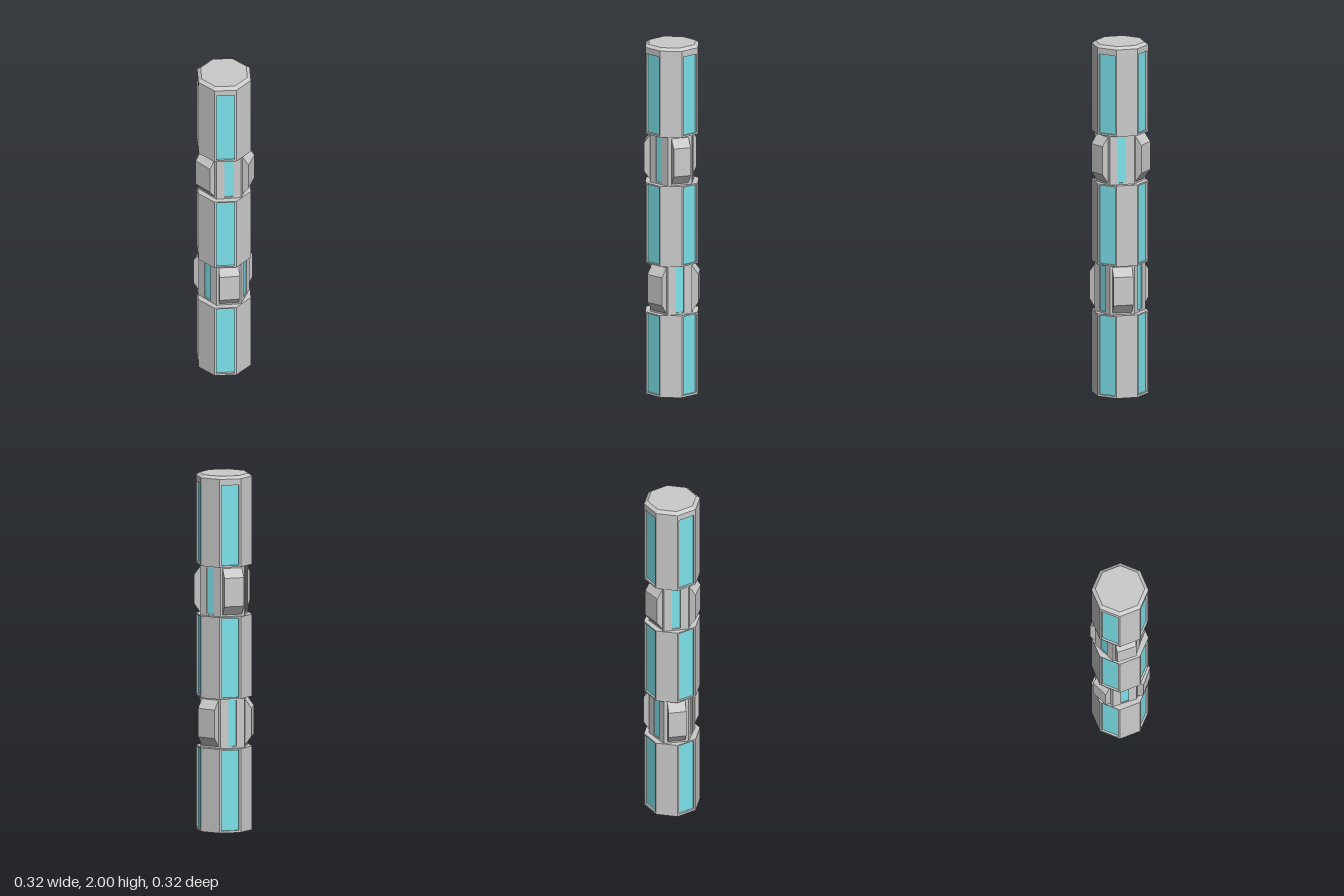
import * as THREE from 'three';

const grey = new THREE.MeshStandardMaterial({ color: 0xcccccc, flatShading: true });
const glow = new THREE.MeshStandardMaterial({ color: 0x7de3ec, flatShading: true });

// Plan outlines, counter-clockwise as [x, -z]
const octagon = Array.from({ length: 8 }, (_, i) => {
  const a = (i * Math.PI) / 4;
  return [0.158 * Math.cos(a), 0.158 * Math.sin(a)];
});
const hexagon = [[0.125, -0.07], [0.125, 0.07], [0, 0.13], [-0.125, 0.07], [-0.125, -0.07], [0, -0.13]];

// Midpoint, direction and outward angle of one side of an outline
function sideOf(outline, i) {
  const p = outline[i], q = outline[(i + 1) % outline.length];
  const dx = q[0] - p[0], dy = q[1] - p[1], len = Math.hypot(dx, dy);
  return {
    mid: [(p[0] + q[0]) / 2, (p[1] + q[1]) / 2],
    t: [dx / len, dy / len],
    n: [dy / len, -dx / len],
    angle: Math.atan2(-dx, dy),
  };
}

function add(parent, name, geometry, material) {
  const mesh = new THREE.Mesh(geometry, material);
  mesh.name = name;
  parent.add(mesh);
  return mesh;
}

// Upright prism; every second side, from the given parity, may carry a groove
function prism(outline, y0, y1, groove) {
  const pts = [];
  outline.forEach((p, i) => {
    pts.push(new THREE.Vector2(...p));
    if (!groove || i % 2 !== groove.parity) return;
    const { mid, t, n } = sideOf(outline, i);
    for (const [s, d] of [[-1, 0], [-1, 1], [1, 1], [1, 0]]) {
      const u = (s * groove.width) / 2, v = d * groove.depth;
      pts.push(new THREE.Vector2(mid[0] + t[0] * u - n[0] * v, mid[1] + t[1] * u - n[1] * v));
    }
  });
  return new THREE.ExtrudeGeometry(new THREE.Shape(pts), { depth: y1 - y0, bevelEnabled: false })
    .rotateX(-Math.PI / 2).translate(0, y0, 0);
}

// Put a part whose outward axis is +x onto one side of an outline
function mount(mesh, outline, i, inset = 0) {
  const { mid, n, angle } = sideOf(outline, i);
  mesh.position.set(mid[0] - n[0] * inset, mesh.position.y, -(mid[1] - n[1] * inset));
  mesh.rotation.y = angle;
}

// Prism closed by plain end plates, with coloured inlays in its grooves
function groovedSection(name, outline, y0, y1, g0, g1, groove) {
  const group = new THREE.Group();
  group.name = name;
  add(group, 'lowerRim', prism(outline, y0, g0), grey);
  add(group, 'groovedBody', prism(outline, g0, g1, groove), grey);
  add(group, 'upperRim', prism(outline, g1, y1), grey);
  for (let i = groove.parity; i < outline.length; i += 2) {
    const panel = add(group, 'inlayPanel', new THREE.BoxGeometry(0.002, g1 - g0, groove.width), glow);
    panel.position.y = (g0 + g1) / 2;
    mount(panel, outline, i, groove.depth);
  }
  return group;
}

// Raised grip pad with sloping top and bottom
function gripPad(y0, y1, width) {
  const h = 0.036;
  const profile = new THREE.Shape([[0, y0], [h, y0 + 0.05], [h, y1 - 0.05], [0, y1]].map((p) => new THREE.Vector2(...p)));
  return new THREE.ExtrudeGeometry(profile, { depth: width, bevelEnabled: false }).translate(0, 0, -width / 2);
}

export function createModel() {
  const model = new THREE.Group();
  model.name = 'segmentedRod';

  // Three eight-sided sections with long recessed panels
  const bodyGroove = { parity: 0, width: 0.1, depth: 0.012 };
  const sections = [
    ['lowerSection', 0, 0.47, 0.012, 0.462],
    ['middleSection', 0.75, 1.21, 0.758, 1.202],
    ['upperSection', 1.49, 1.985, 1.5, 1.95],
  ];
  for (const [name, y0, y1, g0, g1] of sections) {
    model.add(groovedSection(name, octagon, y0, y1, g0, g1, bodyGroove));
  }

  // Chamfered top
  const cap = add(model, 'topCap', new THREE.CylinderGeometry(0.137, 0.158, 0.015, 8), grey);
  cap.position.y = 1.9925;

  // Six-sided necks, pads and narrow strips alternating around them
  for (const [name, y0, y1, stripParity] of [['lowerNeck', 0.47, 0.75, 0], ['upperNeck', 1.21, 1.49, 1]]) {
    const neck = groovedSection(name, hexagon, y0, y1, y0 + 0.01, y1 - 0.01,
      { parity: stripParity, width: 0.046, depth: 0.006 });
    for (let i = 1 - stripParity; i < 6; i += 2) {
      const width = i % 3 === 0 ? 0.1 : 0.112;
      mount(add(neck, 'gripPad', gripPad(y0 + 0.01, y1 - 0.01, width), grey), hexagon, i);
    }
    model.add(neck);
  }
  return model;
}
